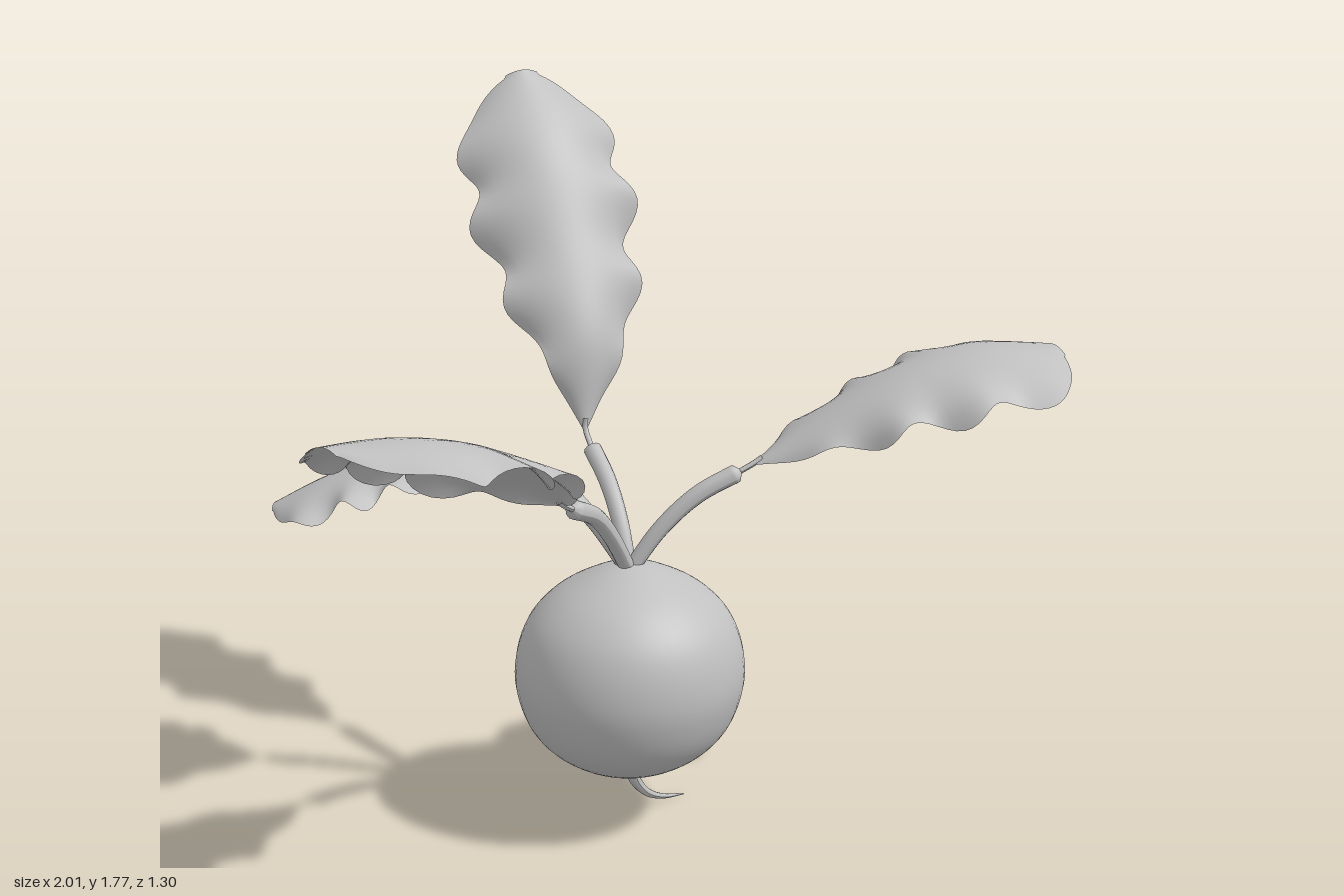
import * as THREE from 'three';

const V = (p) => new THREE.Vector3(...p);
const curve = (pts) => new THREE.CatmullRomCurve3(pts.map(V));

// Tube whose radius follows a rule along its length
function taperedTube(path, segments, sides, radiusAt) {
  const g = new THREE.TubeGeometry(path, segments, 1, sides);
  const pos = g.attributes.position, v = new THREE.Vector3();
  for (let i = 0; i <= segments; i++) {
    const c = path.getPointAt(i / segments), r = radiusAt(i / segments);
    for (let j = 0; j <= sides; j++) {
      const k = i * (sides + 1) + j;
      v.fromBufferAttribute(pos, k).sub(c).multiplyScalar(r).add(c);
      pos.setXYZ(k, v.x, v.y, v.z);
    }
  }
  g.computeVertexNormals();
  return g;
}

// Half-width of a leaf along the midrib, as a fraction of its widest point
const outline = curve([0.03, 0.36, 0.62, 0.8, 0.91, 0.96, 0.96, 0.92, 0.84].map((w, i) => [i / 8, w, 0]));
const tipRound = (t) => Math.sqrt(Math.max(0.06, 1 - Math.max(0, (t - 0.78) / 0.22) ** 2));

// Leaf blade: arched across the midrib, with a scalloped, rippled edge
function leafGeometry(path, facing, width, droop) {
  const rows = 60, cols = 16, positions = [], index = [];
  for (let i = 0; i <= rows; i++) {
    const t = 1 - (1 - i / rows) ** 1.4, c = path.getPointAt(t);
    const along = path.getTangentAt(t);
    const side = along.clone().cross(facing).normalize();
    const normal = side.clone().cross(along);
    const body = outline.getPoint(t).y * tipRound(t);
    const fade = Math.sin(Math.PI * t);
    for (let j = 0; j <= cols; j++) {
      const s = (j / cols) * 2 - 1, a = Math.abs(s);
      const wave = Math.PI * 2 * (t * 4.3 - 0.54) + (s > 0 ? 0 : 0.3);
      const w = width * body * (1 + 0.14 * fade * a ** 3 * Math.cos(wave));
      const lift = -droop * s * s * body + 0.022 * fade * a ** 3 * Math.sin(wave);
      const p = c.clone().addScaledVector(side, s * w).addScaledVector(normal, lift);
      positions.push(p.x, p.y, p.z);
      if (i < rows && j < cols) {
        const k = i * (cols + 1) + j, n = k + cols + 1;
        index.push(k, k + 1, n, k + 1, n + 1, n);
      }
    }
  }
  const g = new THREE.BufferGeometry();
  g.setAttribute('position', new THREE.Float32BufferAttribute(positions, 3));
  g.setIndex(index);
  g.computeVertexNormals();
  return g;
}

export function createModel() {
  const model = new THREE.Group();
  model.name = 'rootVegetable';
  const grey = new THREE.MeshStandardMaterial({ color: 0xc0c0c0, side: THREE.DoubleSide });
  grey.name = 'plainGrey';
  const add = (name, geometry) => {
    const m = new THREE.Mesh(geometry, grey);
    m.name = name;
    model.add(m);
    return m;
  };

  // Round bulb, slightly pointed at the crown and the base
  const profile = new THREE.SplineCurve([
    [0, 0.115], [0.06, 0.136], [0.14, 0.168], [0.205, 0.212], [0.25, 0.267], [0.276, 0.335], [0.284, 0.4],
    [0.272, 0.475], [0.24, 0.543], [0.18, 0.602], [0.1, 0.646], [0.04, 0.668], [0, 0.674],
  ].map((p) => new THREE.Vector2(...p))).getPoints(40);
  profile.forEach((p) => { p.x = Math.max(0, p.x); });
  const bulb = add('bulb', new THREE.LatheGeometry(profile, 48));
  bulb.scale.z = 0.965;
  bulb.position.set(-0.018, 0, 0.057);

  // Curling tail root
  const tail = curve([[-0.018, 0.15, 0.057], [-0.005, 0.1, 0.057], [0.035, 0.05, 0.052], [0.09, 0.02, 0.046], [0.16, 0.004, 0.038]]);
  add('tailRoot', taperedTube(tail, 24, 10, (t) => 0.016 * (1 - t) + 0.002));

  // Four stems, each carrying one leaf
  const crown = [-0.02, 0.65, 0.055];
  const leaves = [
    { name: 'frontLeft', facing: [0, 1, 0.03], width: 0.25, droop: 0.075,
      stem: [[0.05, 0.755, 0.088], [0.13, 0.835, 0.126], [0.225, 0.888, 0.168]],
      rib: [[0.255, 0.905, 0.18], [0.42, 1.015, 0.24], [0.6, 1.11, 0.32], [0.78, 1.155, 0.385], [0.995, 1.145, 0.42]] },
    { name: 'frontRight', facing: [0, 1, -0.16], width: 0.245, droop: 0.075,
      stem: [[-0.09, 0.755, 0.088], [-0.165, 0.835, 0.126], [-0.255, 0.882, 0.168]],
      rib: [[-0.285, 0.9, 0.18], [-0.42, 1.005, 0.24], [-0.6, 1.125, 0.32], [-0.78, 1.19, 0.38], [-0.995, 1.215, 0.42]] },
    { name: 'backRight', facing: [-0.12, 1, -0.15], width: 0.205, droop: 0.052,
      stem: [[-0.085, 0.775, 0.0], [-0.145, 0.855, -0.05], [-0.23, 0.895, -0.117]],
      rib: [[-0.25, 0.9, -0.135], [-0.36, 0.928, -0.22], [-0.48, 0.912, -0.325], [-0.58, 0.87, -0.4], [-0.69, 0.8, -0.485]] },
    { name: 'back', facing: [-0.28, 0, 1], width: 0.207, droop: 0.085,
      stem: [[-0.008, 0.755, 0.0], [0.01, 0.835, -0.08], [0.027, 0.898, -0.18]],
      rib: [[0.03, 0.935, -0.21], [0.045, 1.15, -0.225], [0.068, 1.4, -0.345], [0.085, 1.6, -0.465], [0.115, 1.77, -0.625]] },
  ];
  for (const { name, facing, width, droop, stem, rib } of leaves) {
    add(name + 'Stem', taperedTube(curve([crown, ...stem]), 32, 12, (t) => (t > 0.97 ? 0.007 : 0.019 + 0.004 * t)));
    add(name + 'LeafStalk', taperedTube(curve([stem[2], rib[0], rib[0].map((v, i) => v + 0.12 * (rib[1][i] - v))]), 6, 8, () => 0.007));
    add(name + 'Leaf', leafGeometry(curve(rib), V(facing), width, droop));
  }
  return model;
}
